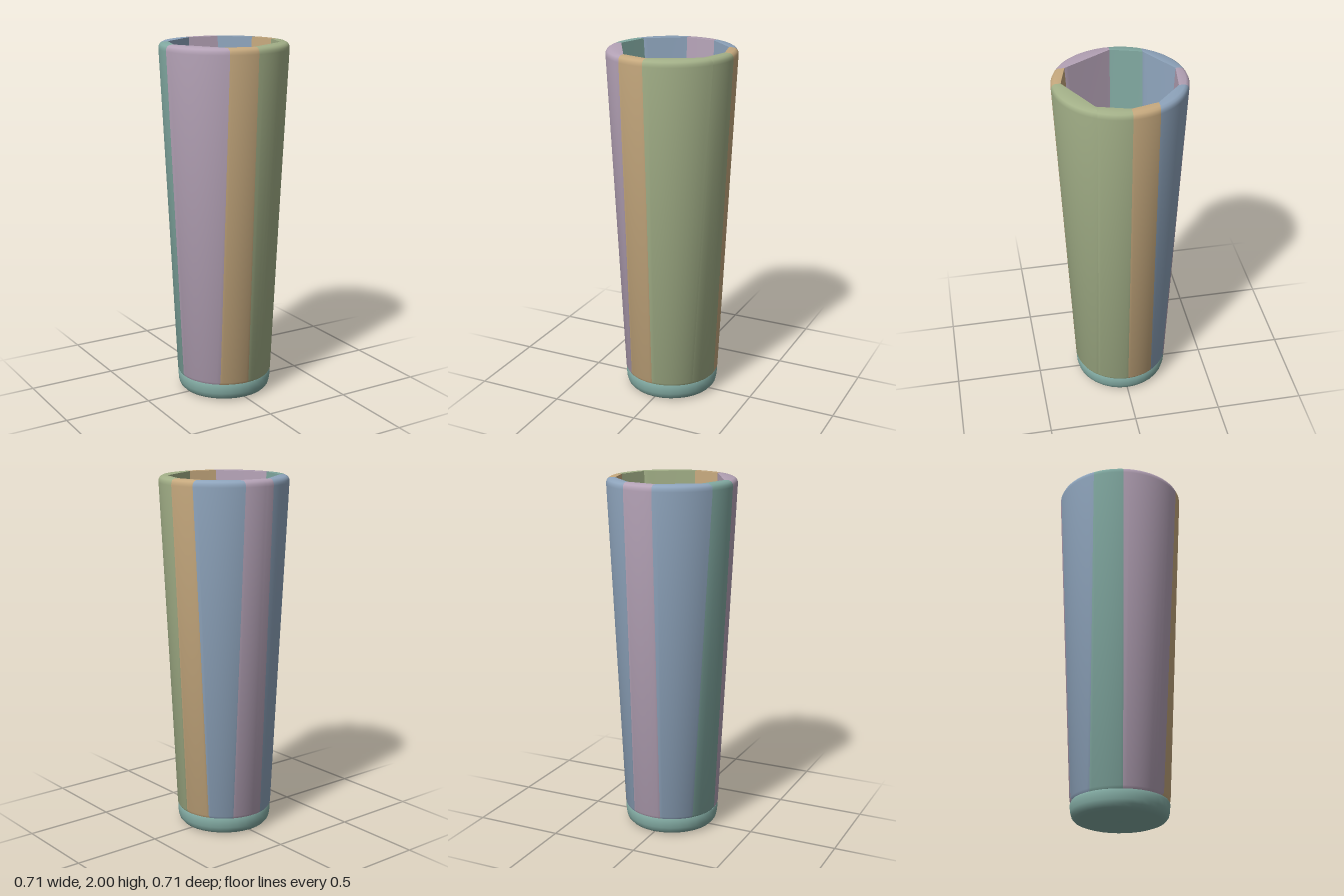
import * as THREE from 'three';
import { toCreasedNormals } from 'three/addons/utils/BufferGeometryUtils.js';

const material = (name, color) => {
  const m = new THREE.MeshStandardMaterial({ color });
  m.name = name;
  return m;
};

// Wall profile as [radius, height], inner foot -> outer side -> rounded rim -> inner rim
const PROFILE = [
  [0.22, 0.1], [0.262, 0.1], [0.27, 0.115], [0.357, 1.965], [0.356, 1.98],
  [0.35, 1.992], [0.337, 2], [0.307, 2],
];
const INNER = new Set([0, PROFILE.length - 1]);
const STEPS = 12;

// Point where an upright cutting plane meets a circle of radius r
function cutPoint({ axis, at, side }, r) {
  const other = side * Math.sqrt(r * r - at * at);
  return axis === 'x' ? [at, other] : [other, at];
}

// One wall stave between two cuts: curved outside, straight chord inside
function staveGeometry(start, end) {
  const n = PROFILE.length, positions = [], index = [];
  for (let s = 0; s <= STEPS; s++) {
    const t = s / STEPS;
    PROFILE.forEach(([r, y], k) => {
      const [x0, z0] = cutPoint(start, r), [x1, z1] = cutPoint(end, r);
      if (INNER.has(k)) {
        positions.push(x0 + (x1 - x0) * t, y, z0 + (z1 - z0) * t);
      } else {
        const a0 = Math.atan2(x0, z0);
        let a1 = Math.atan2(x1, z1);
        if (a1 < a0) a1 += Math.PI * 2;
        const a = a0 + (a1 - a0) * t;
        positions.push(r * Math.sin(a), y, r * Math.cos(a));
      }
    });
  }
  for (let s = 0; s < STEPS; s++) {
    for (let k = 0; k < n; k++) {
      const a = s * n + k, b = a + n, d = s * n + (k + 1) % n, c = d + n;
      index.push(a, b, c, a, c, d);
    }
  }
  // flat end caps
  const last = STEPS * n;
  for (let k = 1; k < n - 1; k++) {
    index.push(0, k, k + 1, last, last + k + 1, last + k);
  }
  const g = new THREE.BufferGeometry();
  g.setAttribute('position', new THREE.Float32BufferAttribute(positions, 3));
  g.setIndex(index);
  return toCreasedNormals(g, 0.65);
}

export function createModel() {
  const green = material('sage green', 0xa3b088);
  const tan = material('tan', 0xc6a97e);
  const blue = material('dusty blue', 0x8fa5bd);
  const lavender = material('lavender', 0xb5a3b7);
  const teal = material('muted teal', 0x82aaa2);

  const model = new THREE.Group();
  model.name = 'taperedCup';

  // Rounded base disc
  const basePoints = [[0, 0], [0.225, 0], [0.245, 0.008], [0.259, 0.024], [0.265, 0.045],
    [0.269, 0.085], [0.263, 0.1], [0, 0.1]].map(([r, y]) => new THREE.Vector2(r, y));
  const base = new THREE.Mesh(toCreasedNormals(new THREE.LatheGeometry(basePoints, 32), 0.75), teal);
  base.name = 'base';
  model.add(base);

  // Cuts in order around the cup, each starting a stave of the given colour
  const cuts = [
    { axis: 'x', at: 0, side: 1, mat: green, name: 'frontLeftStave' },
    { axis: 'z', at: 0.17, side: 1, mat: green, name: 'leftFrontStave' },
    { axis: 'z', at: 0, side: 1, mat: tan, name: 'leftBackStave' },
    { axis: 'z', at: -0.145, side: 1, mat: blue, name: 'backLeftStave' },
    { axis: 'x', at: 0.125, side: -1, mat: lavender, name: 'backStave' },
    { axis: 'x', at: -0.05, side: -1, mat: blue, name: 'backRightStave' },
    { axis: 'z', at: -0.17, side: -1, mat: teal, name: 'rightBackStave' },
    { axis: 'z', at: 0, side: -1, mat: lavender, name: 'rightFrontStave' },
    { axis: 'x', at: -0.155, side: 1, mat: tan, name: 'frontRightStave' },
  ];
  cuts.forEach((cut, i) => {
    const stave = new THREE.Mesh(staveGeometry(cut, cuts[(i + 1) % cuts.length]), cut.mat);
    stave.name = cut.name;
    model.add(stave);
  });
  return model;
}
